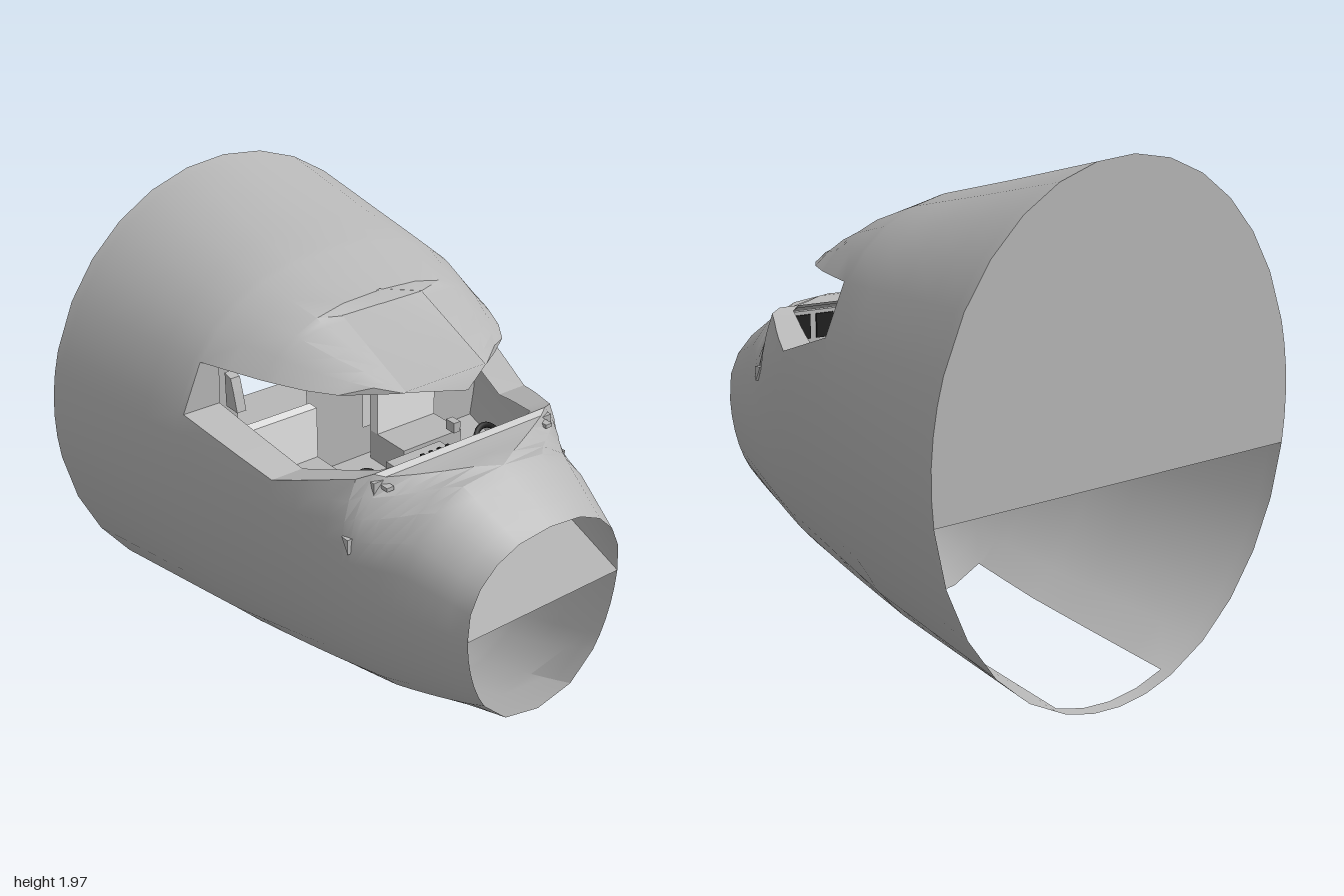
import * as THREE from 'three';
import { mergeGeometries, toCreasedNormals } from 'three/addons/utils/BufferGeometryUtils.js';

const FLOOR = 0.84, ROOF = 1.51, REAR = -0.22, BAY = 0.27;

// piecewise linear profiles along the length (x)
const profile = (...pts) => x => {
  let i = 1;
  while (i < pts.length - 1 && x > pts[i][0]) i++;
  const [a, b] = [pts[i - 1], pts[i]];
  return a[1] + (b[1] - a[1]) * (x - a[0]) / (b[0] - a[0]);
};
const topY = profile([-1, 1.965], [-0.6, 1.88], [-0.25, 1.81], [0.04, 1.72], [0.3, 1.61], [0.43, 1.56], [0.5, 1.554],
  [0.55, 1.394], [0.6, 1.335], [0.65, 1.311], [0.75, 1.3], [1, 1.17]);
const bottomY = profile([-1, 0], [-0.25, 0.07], [0.08, 0.11], [0.2, 0.125], [0.5, 0.2], [1, 0.375]);
const halfWidth = profile([-1, 0.875], [-0.26, 0.755], [0.2, 0.62], [0.6, 0.495], [1, 0.363]);
const centreY = profile([-1, 1], [-0.22, 1.1], [0.2, 1.09], [0.5, 0.98], [1, 0.88]);
const upperPower = profile([-1, 1], [-0.22, 0.8], [0.2, 0.75], [1, 0.82]);
const lowerPower = profile([-1, 1], [0.2, 1], [1, 0.83]);
const sillY = profile([-1, 1.32], [-0.22, 1.32], [0.2, 1.2], [0.5, 1.29]);
const rampY = x => x < 0.05 ? 9 : Math.max(ROOF, 1.67 - (x - 0.06) * 0.432);

// point on the hull at station x and section angle a; the roof edge narrows to a V
const hullPoint = (x, a, s = 1) => {
  const c = centreY(x), sn = Math.sin(a), up = sn > 0;
  const y = Math.min(c + sn * (up ? topY(x) - c : c - bottomY(x)), rampY(x));
  let z = halfWidth(x) * Math.pow(Math.max(0, Math.cos(a)), up ? upperPower(x) : lowerPower(x));
  if (y > 1.5 && x > 0.25) z = Math.min(z, 1.6 * (0.55 - x));
  return [x, y, s * z];
};
const angleAt = (x, y) => {
  const c = centreY(x), h = y > c ? topY(x) - c : c - bottomY(x);
  return Math.asin(THREE.MathUtils.clamp((y - c) / h, -1, 1));
};
const hullAtY = (x, y, s = 1) => hullPoint(x, angleAt(x, y), s);

// section angles of the lines that bound the hull bands
const crown = () => Math.PI / 2;
const keel = () => -Math.PI / 2;
const floorLine = x => angleAt(x, FLOOR);
const roofEdge = x => angleAt(x, ROOF);
const bayEdge = x => -Math.acos(Math.pow(BAY / halfWidth(x), 1 / lowerPower(x)));
const sill = x => x <= 0.5 ? angleAt(x, sillY(x))
  : Math.acos(Math.pow(Math.max(0, 1.84 * (0.75 - x)) / halfWidth(x), 1 / upperPower(x)));

const BREAKS = [-1, -0.95, -0.8, -0.6, -0.42, -0.25, -0.22, -0.1, 0.04, 0.06, 0.08, 0.2, 0.3, 0.37, 0.43, 0.5,
  0.53, 0.55, 0.6, 0.65, 0.7, 0.75, 0.8, 0.87, 0.93, 1];
const stations = (a, b) => BREAKS.filter(x => x >= a && x <= b);
const bandAngles = (x, from, to, n) =>
  Array.from({ length: n + 1 }, (_, j) => THREE.MathUtils.lerp(from(x), to(x), j / n));

// surface through equal-length rows of points
function grid(rows, flip = false) {
  const n = rows[0].length, index = [];
  for (let i = 0; i < rows.length - 1; i++) for (let j = 0; j < n - 1; j++) {
    const a = i * n + j, b = a + n, c = a + 1, d = b + 1;
    index.push(...(flip ? [a, b, c, b, d, c] : [a, c, b, b, c, d]));
  }
  const g = new THREE.BufferGeometry();
  g.setAttribute('position', new THREE.Float32BufferAttribute(rows.flat(2), 3));
  g.setIndex(index);
  return g;
}

const band = (x0, x1, from, to, n, s) => grid(stations(x0, x1).map(x =>
  bandAngles(x, from, to, n).map(a => hullPoint(x, a, s))), s < 0);

const finish = parts => toCreasedNormals(mergeGeometries(parts.map(p => p.toNonIndexed())), 0.45);

const outline = pts => pts.map(p => new THREE.Vector2(...p));

// flat wall across the hull above the floor
function wallGeometry(x, holes = []) {
  const angles = [...bandAngles(x, crown, roofEdge, 5), ...bandAngles(x, sill, floorLine, 5)];
  const half = angles.map(a => hullPoint(x, a)).map(p => [p[2], p[1]]);
  const shape = new THREE.Shape(outline([...half.reverse(), ...half.slice(0, -1).reverse().map(([z, y]) => [-z, y])]));
  for (const h of holes) shape.holes.push(new THREE.Path(outline(h)));
  return new THREE.ShapeGeometry(shape).rotateY(-Math.PI / 2).translate(x, 0, 0);
}

export function createModel() {
  const group = new THREE.Group();
  const material = (name, color, side) => {
    const m = new THREE.MeshStandardMaterial({ color, side });
    m.name = name;
    return m;
  };
  const grey = material('hullGrey', 0xb7b7b7, THREE.DoubleSide);
  const rearGrey = material('bulkheadGrey', 0xb6b6b6, THREE.FrontSide);
  const light = material('seatLightGrey', 0xe6e6e6, THREE.FrontSide);
  const dark = material('instrumentDark', 0x1c1c1c, THREE.FrontSide);
  const add = (name, geometry, mat, x = 0, y = 0, z = 0) => {
    const m = new THREE.Mesh(geometry, mat);
    m.name = name;
    m.position.set(x, y, z);
    group.add(m);
    return m;
  };

  const skin = [], frames = [];
  for (const s of [1, -1]) {
    // hull skin in bands, leaving the cockpit windows and wheel bay open
    skin.push(
      band(-1, 0.43, crown, roofEdge, 5, s),
      band(-1, REAR, roofEdge, sill, 1, s),
      band(-1, 1, sill, floorLine, 5, s),
      band(-1, 1, floorLine, bayEdge, 5, s),
      band(-1, -0.95, bayEdge, keel, 2, s),
      band(0.08, 1, bayEdge, keel, 2, s));
    // window frames: sill, header, rear jamb and deck ahead of the panel
    const ledge = (x0, x1, line, k) => grid(stations(x0, x1).map(x => {
      const [, y, z] = hullPoint(x, line(x), s);
      return [[x, y, z], [x, y, z * k]];
    }), s < 0);
    frames.push(ledge(REAR, 0.53, sill, 0.78), ledge(REAR, 0.43, roofEdge, 0.87), ledge(0.53, 0.75, sill, 0));
    frames.push(grid([sillY(REAR), ROOF].map((y, i) => {
      const z = hullAtY(REAR, y, s)[2];
      return [[REAR, y, z], [REAR, y, z * (i ? 0.87 : 0.78)]];
    }), s < 0));
  }
  add('hullSkin', finish(skin), grey);
  add('windowFrames', finish(frames), grey);

  // flat recessed ramp on the crown, with its rear step and pointed roof tip
  const across = (x, y, w) => [-1, 0, 1].map(k => [x, y, k * w]);
  add('crownRamp', finish([
    grid([[[0.038, 1.674, -0.185], [0.038, 1.724, 0], [0.038, 1.674, 0.185]], across(0.06, 1.674, 0.185)], true),
    grid([across(0.06, 1.674, 0.185), across(0.43, 1.514, 0.185)], true),
    grid([across(0.43, 1.512, 0.19), across(0.55, 1.512, 0)], true)]), grey);

  // cabin floor
  add('floor', finish([grid(stations(-1, 1).map(x => [hullAtY(x, FLOOR, 1), hullAtY(x, FLOOR, -1)]))]), grey);

  // rear closing bulkhead and cockpit back wall with two openings
  add('rearBulkhead', wallGeometry(-1), rearGrey);
  const opening = s => [[0.14, 0.97], [0.46, 0.97], [0.46, 1.44], [0.14, 1.44]].map(([z, y]) => [z * s, y]);
  add('cockpitBackWall', wallGeometry(-0.25, [opening(1), opening(-1)]), grey);

  // instrument panel and centre pedestal
  add('instrumentPanel', new THREE.BoxGeometry(0.03, 0.15, 0.84), grey, 0.535, 1.205, 0);
  add('centrePedestal', new THREE.BoxGeometry(0.3, 0.29, 0.26), grey, 0.4, FLOOR + 0.145, 0);
  add('compass', new THREE.BoxGeometry(0.045, 0.04, 0.03), grey, 0.475, 1.34, 0);
  for (let i = 0; i < 4; i++)
    add('throttleLever', new THREE.BoxGeometry(0.015, 0.07, 0.015), dark, 0.38, 1.16, -0.06 + i * 0.04);

  for (const s of [1, -1]) {
    // display screens
    for (let i = 0; i < 3; i++)
      add('displayScreen', new THREE.BoxGeometry(0.008, 0.1, 0.085), dark, 0.517, 1.215, s * (0.08 + i * 0.115));
    // control yokes
    add('yokeColumn', new THREE.CylinderGeometry(0.012, 0.012, 0.28, 8), grey, 0.37, 0.98, s * 0.29);
    const yoke = add('yokeWheel', new THREE.TorusGeometry(0.055, 0.012, 6, 14, Math.PI * 1.4), dark, 0.35, 1.13, s * 0.29);
    yoke.rotation.set(-Math.PI * 0.2, Math.PI / 2, 0, 'YXZ');
    // low seats in front of the back wall
    add('seatBack', new THREE.BoxGeometry(0.05, 0.22, 0.3), light, -0.19, 1.08, s * 0.3);
    add('seatCushion', new THREE.BoxGeometry(0.22, 0.13, 0.3), grey, -0.1, FLOOR + 0.065, s * 0.3);
    // curved corner bracket behind the side window
    const bracket = new THREE.Shape(outline([[-0.215, 1.3], [-0.14, 1.3], [-0.16, 1.38], [-0.175, 1.43], [-0.215, 1.44]]));
    add('cornerBracket', new THREE.ExtrudeGeometry(bracket, { depth: 0.04, bevelEnabled: false }), grey, 0, 0, s * 0.51 - 0.02);
    // small air data probes on the hull sides
    const side = hullAtY(0.53, 1.05)[2];
    const fin = new THREE.Shape(outline([[0, 0], [0, 0.06], [-0.035, 0.06]]));
    add('sideVane', new THREE.ExtrudeGeometry(fin, { depth: 0.025, bevelEnabled: false }), grey, 0.535, 1.02, s * side - 0.0125);
    const nub = hullAtY(0.57, 1.26);
    add('upperProbe', new THREE.BoxGeometry(0.035, 0.015, 0.03), grey, 0.57, 1.26, s * nub[2]);
  }
  return group;
}
